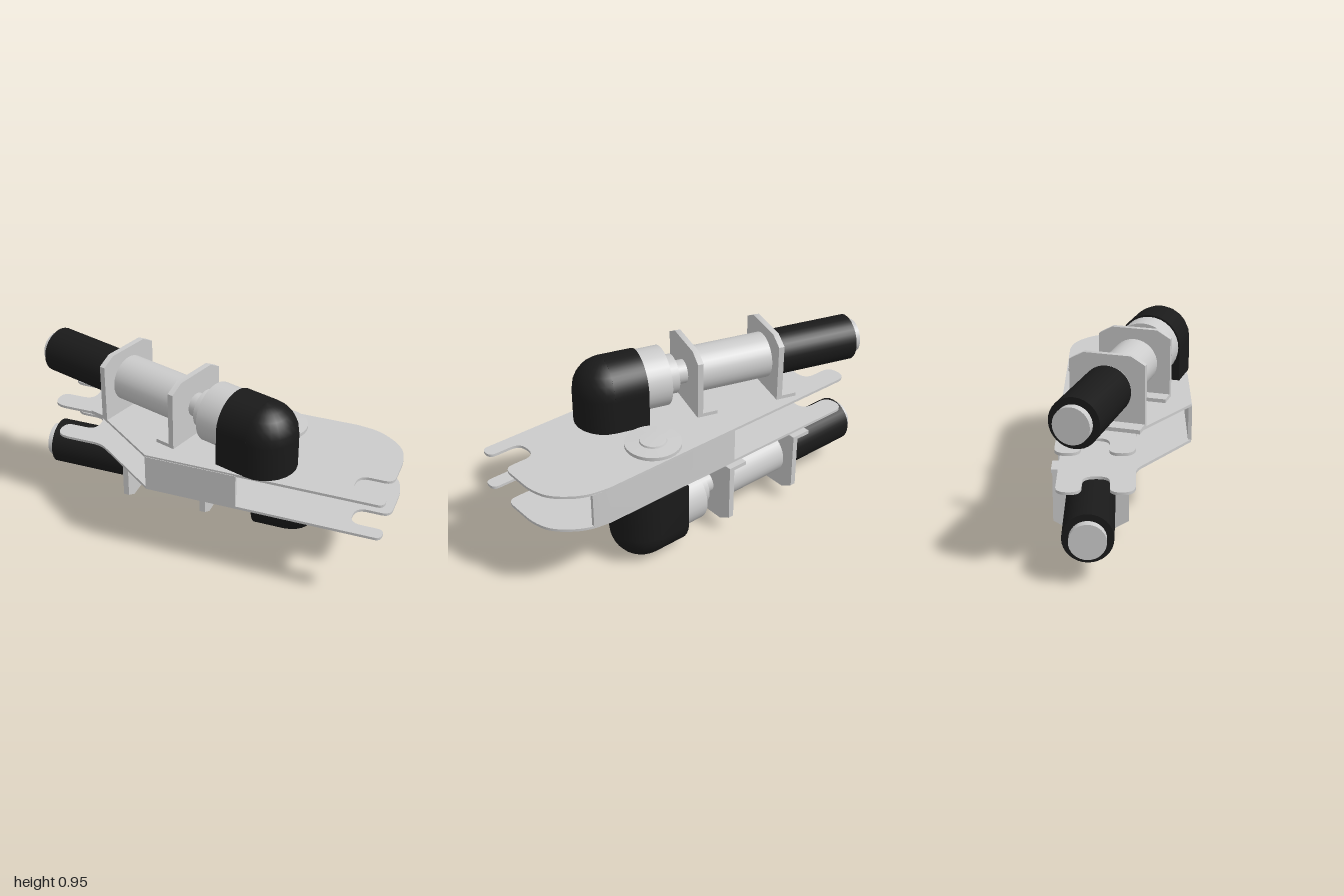
import * as THREE from 'three';
import { toCreasedNormals } from 'three/addons/utils/BufferGeometryUtils.js';

const grey = new THREE.MeshStandardMaterial({ color: 0xcccccc });
const black = new THREE.MeshStandardMaterial({ color: 0x1a1a1a });

function add(parent, name, geometry, material = grey) {
  const mesh = new THREE.Mesh(geometry, material);
  mesh.name = name;
  parent.add(mesh);
  return mesh;
}

function extrude(shape, depth, curveSegments = 8) {
  return toCreasedNormals(new THREE.ExtrudeGeometry(shape, { depth, bevelEnabled: false, curveSegments }), 0.6);
}

// Closed outline from [x, y, cornerRadius] points, corners rounded
function roundedShape(points) {
  const shape = new THREE.Shape();
  points.forEach(([x, y, r], i) => {
    const corner = new THREE.Vector2(x, y);
    const toward = (p) => {
      const d = new THREE.Vector2(p[0], p[1]).sub(corner);
      return d.setLength(Math.min(r, d.length() * 0.5)).add(corner);
    };
    const a = toward(points.at(i - 1));
    const b = toward(points[(i + 1) % points.length]);
    if (i === 0) shape.moveTo(a.x, a.y);
    else shape.lineTo(a.x, a.y);
    if (r > 0) shape.quadraticCurveTo(x, y, b.x, b.y);
  });
  shape.closePath();
  return shape;
}

// Flat part drawn in x/z, spanning height y0 to y1
function slab(points, y0, y1) {
  const g = extrude(roundedShape(points), y1 - y0);
  g.rotateX(Math.PI / 2);
  g.translate(0, y1, 0);
  return g;
}

// Cylinder along local x
function barrel(x0, x1, radius, y, endRadius = radius) {
  const g = new THREE.CylinderGeometry(radius, endRadius, x1 - x0, 32);
  g.rotateZ(-Math.PI / 2);
  g.translate((x0 + x1) / 2, y, 0);
  return g;
}

// Upright bracket with chamfered corners and a foot, facing along x
function bracket(parent, x) {
  const group = new THREE.Group();
  group.name = 'motorBracket';
  const w = 0.187, h = 0.35;
  const plate = extrude(roundedShape([
    [-w, 0, 0], [w, 0, 0], [w, h - 0.04, 0], [w - 0.07, h, 0], [-w + 0.07, h, 0], [-w, h - 0.04, 0],
  ]), 0.03);
  plate.rotateY(Math.PI / 2);
  plate.translate(x, 0, 0);
  add(group, 'bracketPlate', plate);
  add(group, 'bracketFoot', new THREE.BoxGeometry(0.08, 0.02, 2 * w)).position.set(x - 0.04, 0.01, 0);
  parent.add(group);
}

// Round-topped gearbox housing: arched section plus domed half column
function elbow(parent, centreY) {
  const group = new THREE.Group();
  group.name = 'elbowHousing';
  const r = 0.164, x0 = 0.23, x1 = 0.408;
  const arch = new THREE.Shape();
  arch.moveTo(-r, 0);
  arch.lineTo(r, 0);
  arch.lineTo(r, centreY);
  arch.absarc(0, centreY, r, 0, Math.PI);
  arch.closePath();
  const body = extrude(arch, x1 - x0, 12);
  body.rotateY(Math.PI / 2);
  body.translate(x0, 0, 0);
  add(group, 'elbowArch', body, black);

  const profile = [new THREE.Vector2(r, 0)];
  for (let i = 0; i <= 6; i++) {
    const a = (i / 6) * Math.PI / 2;
    profile.push(new THREE.Vector2(r * Math.cos(a), centreY + r * Math.sin(a)));
  }
  const dome = new THREE.LatheGeometry(profile, 12, 0, Math.PI);
  dome.translate(x1, 0, 0);
  add(group, 'elbowDome', dome, black);
  parent.add(group);
}

// Motor, brackets, coupling and elbow, standing on local y = 0
function drive(name, elbowY) {
  const group = new THREE.Group();
  group.name = name;
  const y = 0.175;
  add(group, 'motorEndCap', barrel(-1, -0.96, 0.088, y));
  add(group, 'motorRear', barrel(-0.96, -0.5, 0.121, y), black);
  add(group, 'motorBody', barrel(-0.5, -0.04, 0.12, y));
  add(group, 'driveShaft', barrel(-0.03, 0.05, 0.062, y));
  add(group, 'couplingCollar', barrel(0.04, 0.11, 0.102, y));
  add(group, 'coupling', barrel(0.1, 0.24, 0.156, y + 0.004));
  bracket(group, -0.495);
  bracket(group, -0.05);
  elbow(group, elbowY);
  return group;
}

// Shallow stepped bearing cover
function bearingCover(parent, x, y, z, flip) {
  const pts = [[0.143, 0], [0.143, 0.02], [0.07, 0.024], [0.067, 0.033], [0, 0.036]];
  const g = new THREE.LatheGeometry(pts.map(([r, h]) => new THREE.Vector2(r, h)), 32);
  const mesh = add(parent, 'bearingCover', toCreasedNormals(g.toNonIndexed(), 0.6));
  mesh.position.set(x, y, z);
  if (flip) mesh.rotation.x = Math.PI;
}

export function createModel() {
  const model = new THREE.Group();
  model.name = 'jointLink';

  // Twin side plates with an open slot at each end
  const outline = [
    [-0.87, -0.32, 0.06], [0.6, -0.32, 0], [0.7, -0.32, 0], [0.83, -0.3, 0.08], [0.96, -0.2, 0.08],
    [0.995, -0.09, 0.05], [0.995, 0.125, 0.05], [0.82, 0.125, 0.06], [0.82, 0.255, 0.06], [0.995, 0.255, 0.035],
    [0.995, 0.33, 0.035], [-0.22, 0.33, 0], [-0.6, 0.05, 0.05], [-0.87, 0.05, 0.08],
    [-0.87, -0.07, 0.05], [-0.69, -0.07, 0.06], [-0.69, -0.2, 0.06], [-0.87, -0.2, 0.06],
  ];
  add(model, 'lowerPlate', slab(outline, 0.4, 0.414));
  add(model, 'upperPlate', slab(outline, 0.592, 0.606));

  // Walls joining the plates
  add(model, 'frontWall', slab([[-0.22, 0.315, 0], [0.26, 0.315, 0], [0.26, 0.333, 0], [-0.22, 0.333, 0]], 0.41, 0.596));
  add(model, 'backWall', slab([
    [-0.08, -0.32, 0], [0.7, -0.32, 0], [0.79, -0.307, 0], [0.79, -0.29, 0], [0.7, -0.302, 0], [-0.08, -0.302, 0],
  ], 0.41, 0.596));

  bearingCover(model, 0.325, 0.604, -0.17, false);
  bearingCover(model, 0.29, 0.402, 0.158, true);

  // Upper drive is angled across the plate, lower one hangs straight
  const upper = drive('upperDrive', 0.18);
  upper.position.set(-0.033, 0.605, 0.058);
  upper.rotation.y = -0.297;
  const lower = drive('lowerDrive', 0.237);
  lower.position.set(0, 0.401, -0.168);
  lower.rotation.x = Math.PI;
  model.add(upper, lower);
  return model;
}
